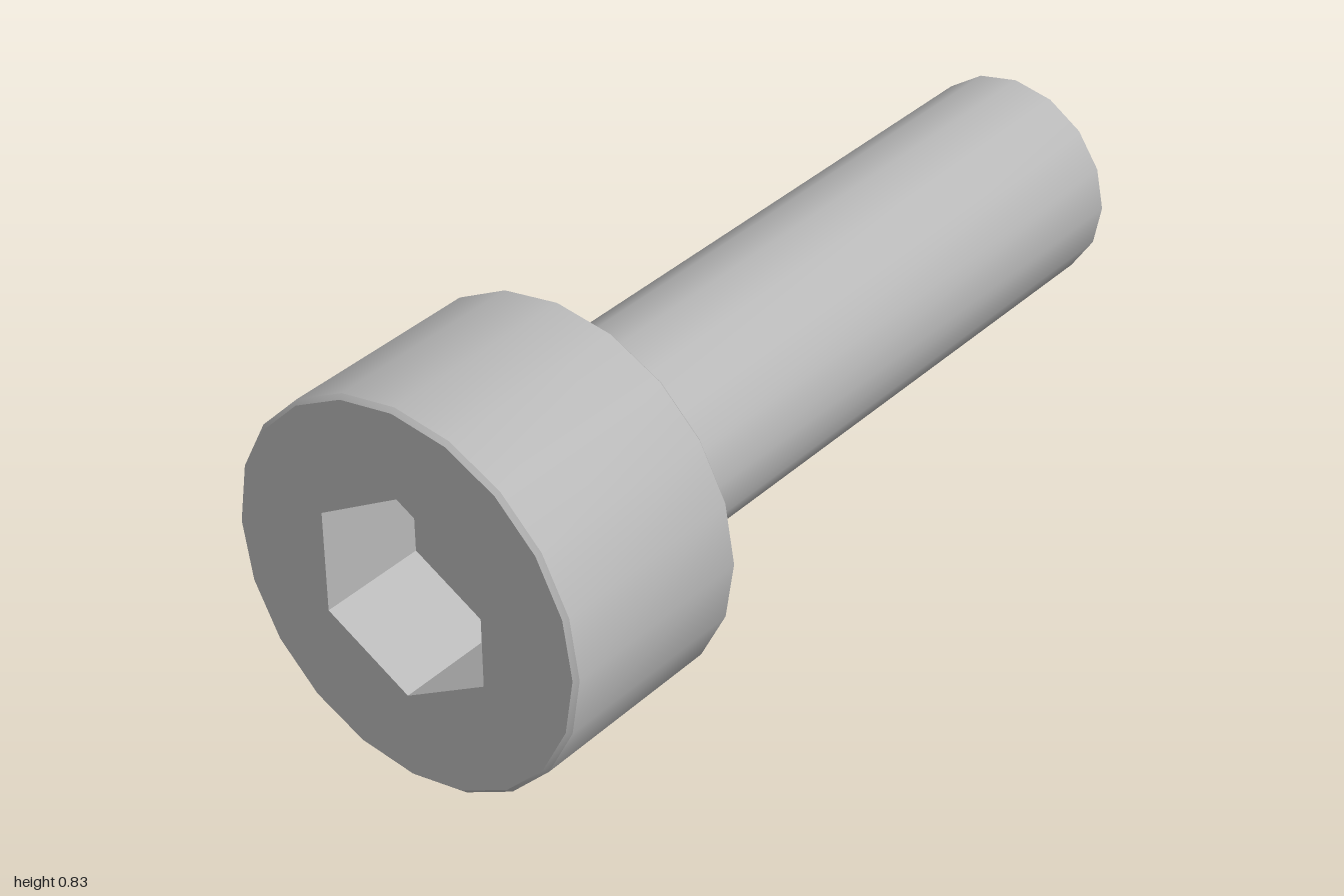
import * as THREE from 'three';
import { toCreasedNormals } from 'three/addons/utils/BufferGeometryUtils.js';

const AXIS_Y = 0.416;
const HEAD_R = 0.415, HEAD_BACK = 0.533, HEAD_SIDES = 20;
const SHANK_R = 0.236, SHANK_SIDES = 16;
const SOCKET_R = 0.222, SOCKET_DEPTH = 0.245;
const CHAMFER = 0.009;

// Profile points are [radius, z]; the turned shape lies along z.
function turned(profile, sides, crease) {
  const points = profile.map(([r, z]) => new THREE.Vector2(r, z));
  const geometry = new THREE.LatheGeometry(points, sides).rotateX(Math.PI / 2);
  return toCreasedNormals(geometry, crease);
}

// Regular polygon with one corner pointing up
function polygon(radius, sides) {
  return Array.from({ length: sides }, (_, i) => {
    const a = (i / sides) * Math.PI * 2;
    return new THREE.Vector2(Math.sin(a) * radius, Math.cos(a) * radius);
  });
}

export function createModel() {
  const steel = new THREE.MeshStandardMaterial({ color: 0xb8b8b8 });
  steel.name = 'grey steel';
  const model = new THREE.Group();
  model.name = 'socketHeadBolt';

  function add(name, geometry) {
    const mesh = new THREE.Mesh(geometry, steel);
    mesh.name = name;
    mesh.position.y = AXIS_Y;
    model.add(mesh);
  }

  // Shank with a chamfered tip
  add('shank', turned([
    [0, -1], [SHANK_R - CHAMFER, -1], [SHANK_R, -1 + CHAMFER], [SHANK_R, HEAD_BACK],
  ], SHANK_SIDES, 0.6));

  // Head barrel: underside, both chamfered rims and the side
  add('head', turned([
    [SHANK_R * 0.9, HEAD_BACK], [HEAD_R - CHAMFER, HEAD_BACK], [HEAD_R, HEAD_BACK + CHAMFER],
    [HEAD_R, 1 - CHAMFER], [HEAD_R - CHAMFER, 1],
  ], HEAD_SIDES, 0.6));

  // Front face with the hexagonal opening
  const face = new THREE.Shape(polygon(HEAD_R - CHAMFER, HEAD_SIDES));
  face.holes.push(new THREE.Path(polygon(SOCKET_R, 6)));
  add('headFace', new THREE.ShapeGeometry(face).translate(0, 0, 1));

  // Socket walls and floor, facing inward
  add('hexSocket', turned([
    [SOCKET_R, 1], [SOCKET_R, 1 - SOCKET_DEPTH], [0, 1 - SOCKET_DEPTH],
  ], 6, 0.1));

  return model;
}
